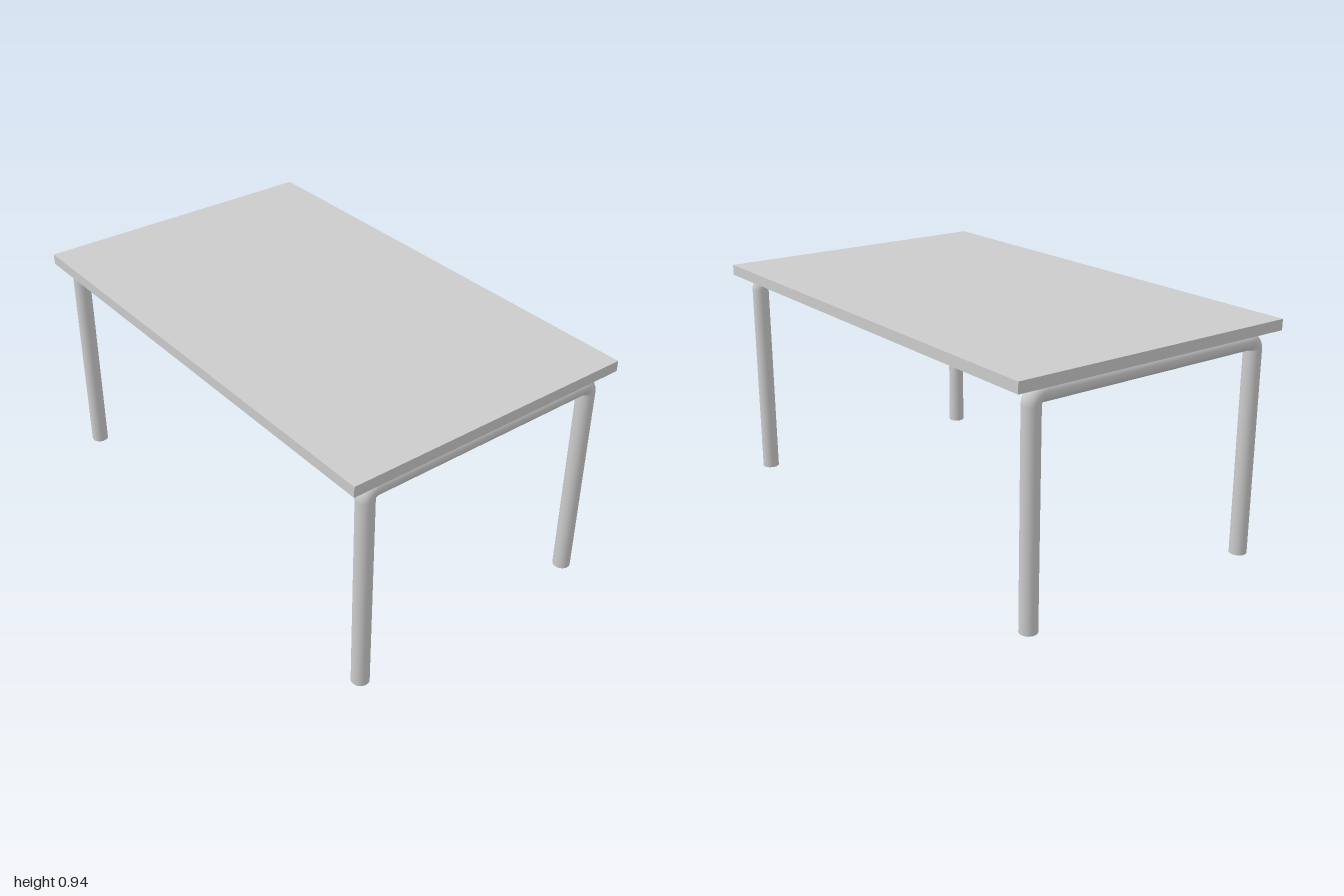
import * as THREE from 'three';

const R = 0.0345;      // tube radius
const BEND = 0.0352;   // bend radius of the tube centre line
const INNER_Y = 0.825; // height where the legs start to bend
const HALF = 0.485;    // half distance between the bend centres

export function createModel() {
  const model = new THREE.Group();
  model.name = 'table';
  const material = new THREE.MeshStandardMaterial({ color: 0xcccccc });

  const add = (parent, name, geometry, x, y, z) => {
    const mesh = new THREE.Mesh(geometry, material);
    mesh.name = name;
    mesh.position.set(x, y, z);
    parent.add(mesh);
    return mesh;
  };

  // Flat rectangular slab
  const top = 0.938, bottom = 0.895;
  add(model, 'tableTop', new THREE.BoxGeometry(1.226, top - bottom, 2), 0, (top + bottom) / 2, 0);

  // Bent tube frame: two legs, two tight bends and a crossbar
  const legGeometry = new THREE.CylinderGeometry(R, R, INNER_Y, 32);
  const barGeometry = new THREE.CylinderGeometry(R, R, HALF * 2, 32, 1, true).rotateZ(Math.PI / 2);
  const bendGeometry = new THREE.TorusGeometry(BEND, R, 32, 16, Math.PI / 2);

  const addFrame = (name, z) => {
    const frame = new THREE.Group();
    frame.name = name;
    frame.position.set(-0.008, 0, z);
    add(frame, 'crossbar', barGeometry, 0, INNER_Y + BEND, 0);
    for (const [label, s] of [['left', 1], ['right', -1]]) {
      add(frame, label + 'Leg', legGeometry, s * (HALF + BEND), INNER_Y / 2, 0);
      const bend = add(frame, label + 'Bend', bendGeometry, s * HALF, INNER_Y, 0);
      if (s < 0) bend.rotation.y = Math.PI;
    }
    model.add(frame);
  };
  addFrame('frontLegFrame', 0.954);
  addFrame('backLegFrame', -0.94);

  return model;
}
